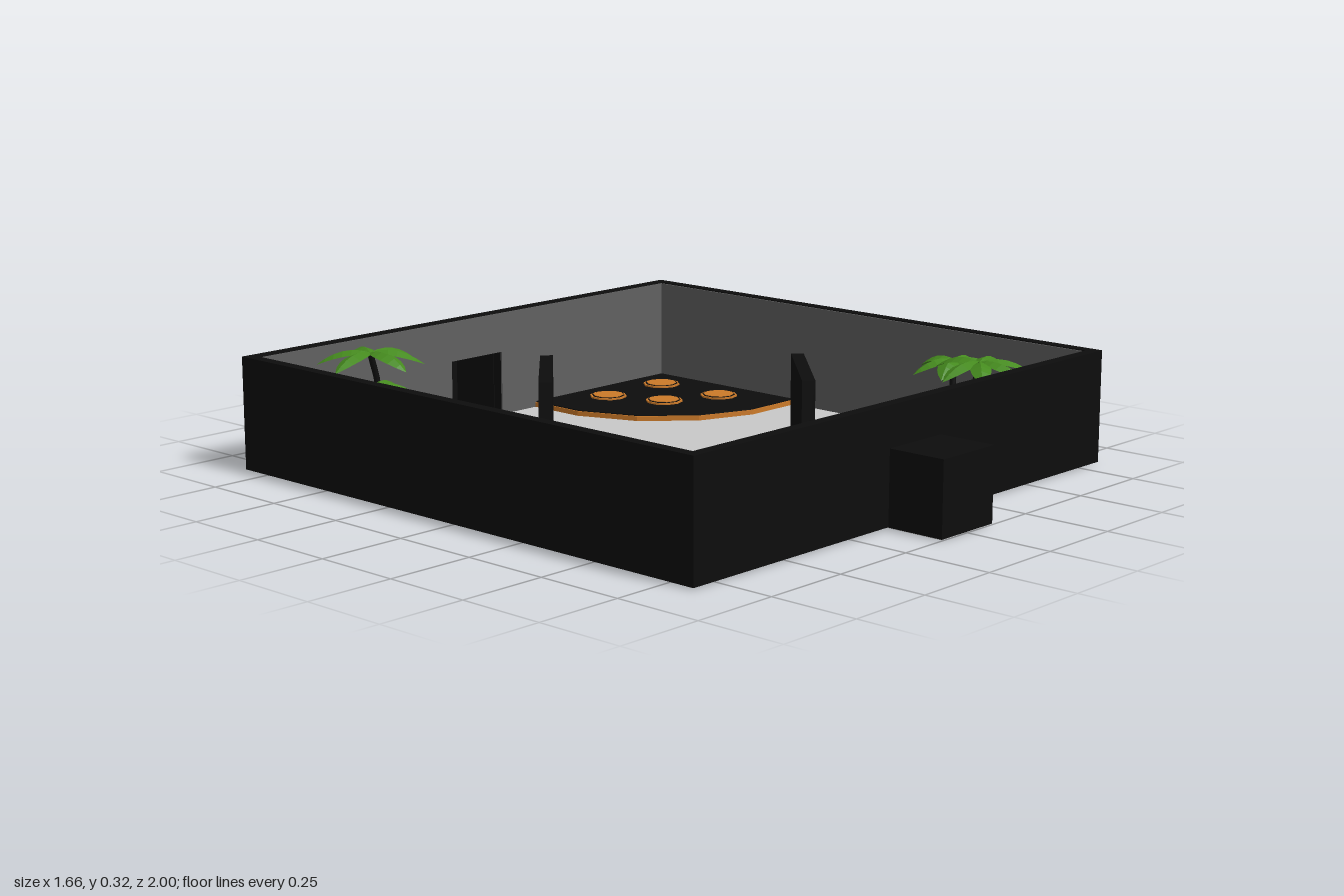
import * as THREE from 'three';

const mat = (name, color, extra = {}) => {
  const m = new THREE.MeshStandardMaterial({ color, ...extra });
  m.name = name;
  return m;
};

export function createModel() {
  const root = new THREE.Group();
  root.name = 'loungeRoom';
  const black = mat('black', 0x0d0d0d);
  const grey = mat('innerWallGrey', 0x606060);
  const floorMat = mat('floorGrey', 0xc8c8c8);
  const sandMat = mat('sand', 0xc9a35c);
  const orange = mat('orange', 0xcc7a29);
  const brown = mat('brown', 0x5c3a1a);
  const green = mat('leafGreen', 0x458a1e, { side: THREE.DoubleSide, flatShading: true });
  const stone = mat('stone', 0x58585c, { flatShading: true });
  const silver = mat('silver', 0xa8acb0);

  const add = (parent, name, geo, m) => {
    const mesh = new THREE.Mesh(geo, m);
    mesh.name = name;
    parent.add(mesh);
    return mesh;
  };
  // Box given by its limits
  const slab = (p, name, m, x0, x1, y0, y1, z0, z1) => {
    const b = add(p, name, new THREE.BoxGeometry(x1 - x0, y1 - y0, z1 - z0), m);
    b.position.set((x0 + x1) / 2, (y0 + y1) / 2, (z0 + z1) / 2);
    return b;
  };
  // Upright prism over a floor outline of [x, z] points
  const prism = (p, name, m, pts, y0, y1) => {
    const s = new THREE.Shape(pts.map(([x, z]) => new THREE.Vector2(x, -z)));
    const g = new THREE.ExtrudeGeometry(s, { depth: y1 - y0, bevelEnabled: false });
    g.rotateX(-Math.PI / 2).translate(0, y0, 0);
    return add(p, name, g, m);
  };
  const disc = (p, name, m, r, y0, y1, x, z, sides = 12) => {
    const d = add(p, name, new THREE.CylinderGeometry(r, r, y1 - y0, sides), m);
    d.position.set(x, (y0 + y1) / 2, z);
    return d;
  };

  // Floor with a tongue into each porch
  slab(root, 'floor', floorMat, -0.822, 0.822, 0, 0.01, -0.822, 0.822);
  const H = 0.32;
  for (const s of [-1, 1]) {
    const side = new THREE.Group();
    side.name = s > 0 ? 'frontAndLeftWalls' : 'backAndRightWalls';
    if (s < 0) side.rotation.y = Math.PI;
    root.add(side);
    slab(side, 'porchFloor', floorMat, -0.1, 0.1, 0, 0.01, 0.822, 0.995);
    slab(side, 'sideWall', black, 0.8, 0.832, 0.004, H, -0.832, 0.832);
    slab(side, 'sideWallLining', grey, 0.795, 0.8, 0.01, H - 0.003, -0.8, 0.8);
    for (const [x0, x1] of [[-0.8, -0.1], [0.1, 0.8]]) {
      slab(side, 'doorWall', black, x0, x1, 0.004, H, 0.8, 0.832);
      slab(side, 'doorWallLining', grey, x0, x1, 0.01, H - 0.003, 0.795, 0.8);
    }
    slab(side, 'lintel', black, -0.1, 0.1, 0.2, H, 0.8, 0.832);
    slab(side, 'lintelLining', grey, -0.1, 0.1, 0.2, H - 0.003, 0.795, 0.8);
    slab(side, 'porchRoof', black, -0.105, 0.105, 0.2, 0.208, 0.83, 1);
    slab(side, 'porchEnd', black, -0.105, 0.105, 0.003, 0.2, 0.992, 1);
    slab(side, 'porchSide', black, -0.105, -0.098, 0.003, 0.2, 0.83, 0.992);
    slab(side, 'porchSide', black, 0.098, 0.105, 0.003, 0.2, 0.83, 0.992);
  }
  slab(root, 'doorBracket', black, -0.005, 0.005, 0.23, 0.25, 0.755, 0.797);

  // Diagonal screens on feet
  for (const s of [-1, 1]) {
    const screen = new THREE.Group();
    screen.name = 'screen';
    screen.position.set(0.248 * s, 0, 0.25 * s);
    screen.rotation.y = Math.PI / 4;
    slab(screen, 'screenFoot', black, -0.185, 0.185, 0.005, 0.03, -0.023, 0.023);
    slab(screen, 'screenPanel', black, -0.182, 0.182, 0.03, 0.28, -0.018, 0.018);
    root.add(screen);
  }

  // One palm frond: a folded leaf that arches outward along +x
  const frondGeometry = (len) => {
    const pos = [], idx = [], n = 6;
    for (let i = 0; i <= n; i++) {
      const t = i / n, w = 0.029 * Math.pow(Math.sin(Math.PI * (0.06 + 0.94 * t)), 0.8);
      const y = 0.05 * t - 0.085 * t * t;
      pos.push(len * t, y - w * 0.4, -w, len * t, y, 0, len * t, y - w * 0.4, w);
      if (i < n) for (const k of [0, 1]) {
        const a = i * 3 + k;
        idx.push(a, a + 1, a + 4, a, a + 4, a + 3);
      }
    }
    const g = new THREE.BufferGeometry();
    g.setAttribute('position', new THREE.Float32BufferAttribute(pos, 3));
    g.setIndex(idx);
    g.computeVertexNormals();
    return g;
  };
  const palm = (p, x, z, top, len, angles, bend) => {
    const g = new THREE.Group();
    g.name = 'palm';
    g.position.set(x, 0, z);
    const path = new THREE.CatmullRomCurve3([
      new THREE.Vector3(-bend * 0.5, 0.06, 0), new THREE.Vector3(bend, 0.06 + (top - 0.06) * 0.55, 0), new THREE.Vector3(0, top, 0)]);
    add(g, 'palmTrunk', new THREE.TubeGeometry(path, 10, 0.009, 7), black);
    for (const a of angles) {
      const f = add(g, 'palmFrond', frondGeometry(len), green);
      f.position.y = top;
      f.rotation.y = -a * Math.PI / 180;
    }
    p.add(g);
  };

  // Planted corner with curved bench, end counters and stools (built at the back right)
  const C = -0.22;
  const arc = (r, a0 = 180, a1 = 270, n = 5) => Array.from({ length: n + 1 }, (_, i) => {
    const a = (a0 + (a1 - a0) * i / n) * Math.PI / 180;
    return [C + r * Math.cos(a), C + r * Math.sin(a)];
  });
  const ring = (p, name, m, r0, r1, y0, y1) => prism(p, name, m, [...arc(r0), ...arc(r1).reverse()], y0, y1);
  const corner = (name, turn, palms, rocks) => {
    const g = new THREE.Group();
    g.name = name;
    g.rotation.y = turn;
    root.add(g);
    prism(g, 'sandBed', sandMat, [[-0.795, -0.795], [-0.795, C], ...arc(0.468), [C, -0.795]], 0.01, 0.065);
    ring(g, 'benchPlinth', black, 0.372, 0.44, 0.01, 0.022);
    ring(g, 'benchSeat', orange, 0.365, 0.42, 0.022, 0.052);
    ring(g, 'benchBackPad', orange, 0.418, 0.438, 0.022, 0.083);
    ring(g, 'benchBack', black, 0.438, 0.47, 0.01, 0.085);
    ring(g, 'benchBackCap', brown, 0.446, 0.457, 0.085, 0.087);
    ring(g, 'backSeam', black, 0.415, 0.418, 0.022, 0.055);
    for (let i = 1; i < 5; i++) {
      const a = (180 + i * 18) * Math.PI / 180;
      const seam = new THREE.Group();
      seam.name = 'benchSeam';
      seam.position.set(C, 0, C);
      seam.rotation.y = -a;
      slab(seam, 'seatSeam', black, 0.364, 0.42, 0.022, 0.053, -0.002, 0.002);
      slab(seam, 'padSeam', black, 0.414, 0.438, 0.022, 0.084, -0.002, 0.002);
      g.add(seam);
    }
    slab(g, 'counter', black, C, -0.12, 0.01, 0.075, -0.795, -0.585);
    slab(g, 'counter', black, -0.795, -0.585, 0.01, 0.075, C, -0.125);
    for (const x of [-0.75, -0.667]) {
      disc(g, 'stoolBase', black, 0.02, 0.01, 0.015, x, -0.095);
      disc(g, 'stoolLeg', black, 0.007, 0.015, 0.045, x, -0.095, 8);
      disc(g, 'stoolRim', brown, 0.026, 0.043, 0.052, x, -0.095);
      disc(g, 'stoolSeat', orange, 0.021, 0.052, 0.057, x, -0.095);
    }
    palms.forEach((p) => palm(g, ...p));
    for (const [x, z, rx, ry, rz, turnY] of rocks) {
      const r = add(g, 'rock', new THREE.IcosahedronGeometry(1, 1), stone);
      r.scale.set(rx, ry, rz);
      r.position.set(x, 0.065 + ry * 0.6, z);
      r.rotation.y = turnY;
    }
  };
  corner('backPlantedCorner', 0,
    [[-0.52, -0.665, 0.308, 0.15, [-68, 5, 43, 90, 170, 227], 0.025],
      [-0.67, -0.48, 0.265, 0.125, [-95, -13, 42, 80, 143, 178], 0.008]],
    [[-0.685, -0.69, 0.042, 0.045, 0.034, -0.5], [-0.305, -0.735, 0.034, 0.035, 0.032, 0],
      [-0.725, -0.34, 0.03, 0.035, 0.046, 0.1]]);
  corner('frontPlantedCorner', Math.PI,
    [[-0.52, -0.645, 0.308, 0.15, [90, 166, 223, 270, 320, 364], 0.025],
      [-0.665, -0.455, 0.265, 0.125, [93, 172, 218, 275, 340, 30], 0.008]],
    [[-0.685, -0.685, 0.05, 0.045, 0.076, -0.6], [-0.32, -0.71, 0.036, 0.035, 0.042, -0.2],
      [-0.725, -0.3, 0.038, 0.035, 0.032, 0.4]]);

  // Low stage with orange trim and round pads
  const stage = new THREE.Group();
  stage.name = 'stage';
  root.add(stage);
  const edge = (d) => [[0.795, -0.795], [0.24 - d, -0.795], [0.24 - d, -0.615], [0.31 - d, -0.44 + d],
    [0.44 - d, -0.31 + d], [0.605, -0.247 + d], [0.795, -0.247 + d]];
  prism(stage, 'stageTrim', orange, edge(0.004), 0.01, 0.024);
  prism(stage, 'stageTop', black, edge(0), 0.012, 0.027);
  for (const [x, z] of [[0.435, -0.68], [0.672, -0.68], [0.503, -0.51], [0.672, -0.44]]) {
    disc(stage, 'padRim', orange, 0.056, 0.025, 0.032, x, z, 10);
    disc(stage, 'padRing', black, 0.05, 0.032, 0.0335, x, z, 10);
    disc(stage, 'padTop', orange, 0.046, 0.0335, 0.035, x, z, 10);
  }

  // Square table with four stools and three folding screens
  const table = new THREE.Group();
  table.name = 'table';
  table.position.set(-0.45, 0, 0.462);
  root.add(table);
  slab(table, 'tableRim', orange, -0.118, 0.118, 0.088, 0.097, -0.118, 0.118);
  slab(table, 'tableTop', floorMat, -0.114, 0.114, 0.09, 0.099, -0.114, 0.114);
  slab(table, 'tableLeg', orange, -0.015, 0.015, 0.01, 0.09, -0.015, 0.015);
  for (let i = 0; i < 4; i++) {
    const seat = new THREE.Group();
    seat.name = 'tablePlace';
    seat.rotation.y = i * Math.PI / 2;
    disc(seat, 'seatLeg', black, 0.006, 0.01, 0.045, 0, -0.133, 8);
    disc(seat, 'seatTop', orange, 0.02, 0.045, 0.056, 0, -0.133);
    if (i !== 2) {
      slab(seat, 'laptopBase', silver, -0.025, 0.025, 0.099, 0.102, -0.096, -0.085);
      slab(seat, 'laptopScreen', black, -0.026, 0.026, 0.099, 0.122, -0.085, -0.081);
    }
    table.add(seat);
  }
  return root;
}
